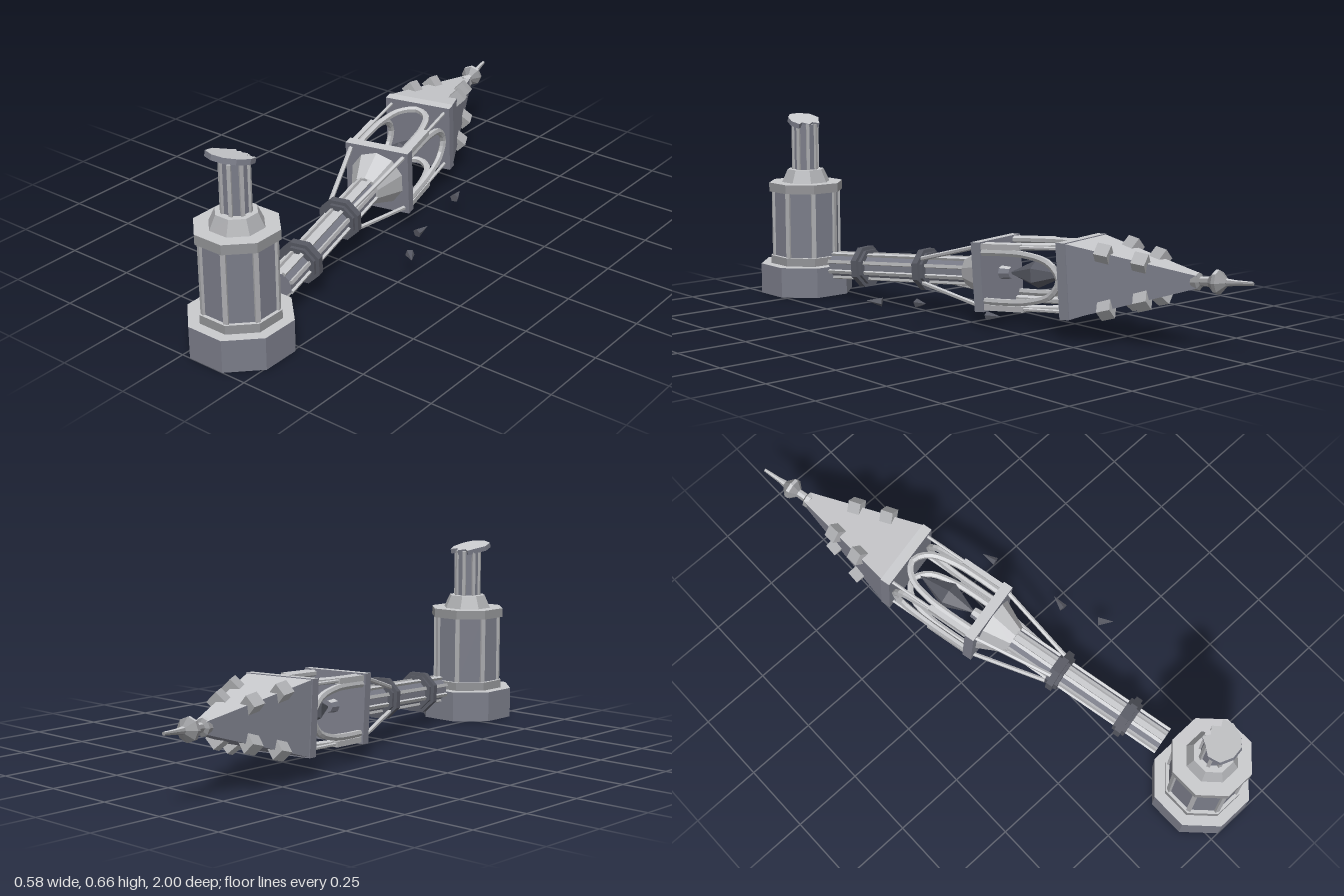
import * as THREE from 'three';

const mat = (name, color) => {
  const m = new THREE.MeshStandardMaterial({ color, flatShading: true });
  m.name = name;
  return m;
};

export function createModel() {
  const stone = mat('slate iron', 0x797b87);
  const trim = mat('grey trim', 0x919295);
  const light = mat('light trim', 0xabacaf);
  const pale = mat('pale worn tops', 0xc8c9cc);
  const dark = mat('dark crystal', 0x565862);

  const add = (parent, name, geo, material, x = 0, y = 0, z = 0) => {
    const m = new THREE.Mesh(geo, material);
    m.name = name;
    m.position.set(x, y, z);
    parent.add(m);
    return m;
  };

  // Eight-sided drum with a flat facing forward; sizes are half-widths across flats
  const K = 1 / Math.cos(Math.PI / 8);
  const drum = (parent, name, y0, y1, r0, r1, material) => {
    const g = new THREE.CylinderGeometry(r1 * K, r0 * K, y1 - y0, 8);
    g.rotateY(Math.PI / 8);
    return add(parent, name, g, material, 0, (y0 + y1) / 2, 0);
  };

  // Ribs on the eight corners of a drum
  const ribs = (parent, name, y0, y1, r, w) => {
    for (let i = 0; i < 8; i++) {
      const a = Math.PI / 8 + i * Math.PI / 4;
      const m = add(parent, name, new THREE.BoxGeometry(w, y1 - y0, w), light,
        Math.sin(a) * r, (y0 + y1) / 2, Math.cos(a) * r);
      m.rotation.y = a;
    }
  };

  // Straight bar between two points
  const rod = (parent, name, a, b, r) => {
    const d = b.clone().sub(a);
    const m = add(parent, name, new THREE.CylinderGeometry(r, r, d.length(), 6), light);
    m.position.copy(a).addScaledVector(d, 0.5);
    m.quaternion.setFromUnitVectors(new THREE.Vector3(0, 1, 0), d.normalize());
  };

  const root = new THREE.Group();
  root.name = 'brokenLamp';

  // Standing pedestal
  const pedestal = new THREE.Group();
  pedestal.name = 'pedestal';
  pedestal.position.set(0.097, 0, 0.84);
  root.add(pedestal);
  drum(pedestal, 'foot', 0, 0.11, 0.16, 0.16, stone);
  drum(pedestal, 'lowerBand', 0.11, 0.14, 0.125, 0.125, trim);
  drum(pedestal, 'body', 0.14, 0.38, 0.113, 0.113, stone);
  ribs(pedestal, 'bodyRib', 0.14, 0.38, 0.12, 0.016);
  drum(pedestal, 'cap', 0.38, 0.413, 0.128, 0.128, trim);
  drum(pedestal, 'shoulder', 0.413, 0.46, 0.083, 0.063, light);
  drum(pedestal, 'stump', 0.46, 0.628, 0.041, 0.041, stone);
  ribs(pedestal, 'stumpRib', 0.46, 0.628, 0.044, 0.012);

  // Jagged broken end, leaning toward the back
  const jag = [[-0.072, -0.02], [-0.062, -0.062], [-0.02, -0.08], [0.022, -0.074], [0.048, -0.045],
    [0.063, 0.0], [0.052, 0.036], [0.03, 0.022], [0.012, 0.045], [-0.012, 0.026], [-0.034, 0.042], [-0.05, 0.012]];
  const breakGeo = new THREE.ExtrudeGeometry(
    new THREE.Shape(jag.map(([x, y]) => new THREE.Vector2(x, y))), { depth: 0.018, bevelEnabled: false });
  breakGeo.rotateX(-Math.PI / 2);
  add(pedestal, 'brokenEnd', breakGeo, stone, 0, 0.624, 0).rotation.x = -0.26;

  // Fallen lamp: local y runs along the pole, local z points up
  const lamp = new THREE.Group();
  lamp.name = 'fallenLamp';
  const Y = new THREE.Vector3(-0.368, 0.126, -1.655).normalize();
  const X = Y.clone().cross(new THREE.Vector3(0, 1, 0)).normalize();
  const Z = X.clone().cross(Y);
  lamp.quaternion.setFromRotationMatrix(new THREE.Matrix4().makeBasis(X, Y, Z));
  lamp.position.set(0.093, 0.12, 0.655);
  root.add(lamp);

  drum(lamp, 'pole', 0, 0.66, 0.041, 0.041, stone);
  ribs(lamp, 'poleRib', 0, 0.66, 0.045, 0.012);
  for (const s of [0.146, 0.428]) {
    drum(lamp, 'collar', s - 0.024, s + 0.024, 0.059, 0.059, dark);
    drum(lamp, 'collarRing', s - 0.012, s + 0.012, 0.071, 0.071, dark);
  }

  // Cup, lantern floor and roof slab
  add(lamp, 'cup', new THREE.CylinderGeometry(0.1, 0.052, 0.1, 10), light, 0, 0.668, 0);
  add(lamp, 'lanternFloor', new THREE.BoxGeometry(0.236, 0.036, 0.236), stone, 0, 0.735, 0);
  add(lamp, 'roofSlab', new THREE.BoxGeometry(0.25, 0.036, 0.25), stone, 0, 1.082, 0);

  // Diagonal braces, corner posts with thin upper rods, and roof knobs
  for (const sx of [-1, 1]) for (const sz of [-1, 1]) {
    const at = (h, s) => new THREE.Vector3(sx * h, s, sz * h);
    rod(lamp, 'brace', at(0.042, 0.435), at(0.1, 0.725), 0.008);
    rod(lamp, 'cornerRod', at(0.103, 0.9), at(0.103, 1.07), 0.006);
    add(lamp, 'cornerPost', new THREE.BoxGeometry(0.019, 0.16, 0.019), light, sx * 0.103, 0.83, sz * 0.103);
    for (const [s, h] of [[1.222, 0.09], [1.34, 0.061]]) {
      const knob = add(lamp, 'roofKnob', new THREE.BoxGeometry(0.046, 0.046, 0.046), light, sx * h, s, sz * h);
      knob.rotation.order = 'YXZ';
      knob.rotation.y = Math.atan2(sx, sz);
      knob.rotation.x = -0.3;
    }
  }

  // Window arches on the four sides
  const archPts = [[-0.082, 0.75], [-0.083, 0.84], [-0.078, 0.93], [-0.052, 1.02], [0, 1.056],
    [0.052, 1.02], [0.078, 0.93], [0.083, 0.84], [0.082, 0.75]];
  const archGeo = new THREE.TubeGeometry(new THREE.CatmullRomCurve3(
    archPts.map(([x, y]) => new THREE.Vector3(x, y, 0.103))), 28, 0.012, 6);
  for (let i = 0; i < 4; i++) add(lamp, 'windowArch', archGeo, light).rotation.y = i * Math.PI / 2;

  // Crystal on its holder
  add(lamp, 'crystalHolder', new THREE.CylinderGeometry(0.02, 0.024, 0.045, 8), stone, 0, 0.772, 0);
  add(lamp, 'crystal', new THREE.LatheGeometry([[0, 0.785], [0.048, 0.9], [0, 1.022]]
    .map(([r, y]) => new THREE.Vector2(r, y)), 6), dark);

  // Four-sided spire
  const spire = new THREE.CylinderGeometry(0.02 * Math.SQRT2, 0.122 * Math.SQRT2, 0.415, 4);
  spire.rotateY(Math.PI / 4);
  add(lamp, 'spire', spire, stone, 0, 1.307, 0);

  // Finial and spike
  const finial = [[0, 1.495], [0.029, 1.495], [0.029, 1.513], [0.016, 1.52], [0.016, 1.55], [0.039, 1.573],
    [0.039, 1.585], [0.013, 1.61], [0.009, 1.64], [0.006, 1.7], [0, 1.7]];
  add(lamp, 'finial', new THREE.LatheGeometry(finial.map(([r, y]) => new THREE.Vector2(r, y)), 8), trim);

  // Scattered shards
  const shards = [[0.125, 0.08, -0.26, -1.5, 0.25], [0.19, 0.085, 0.035, -1.45, -0.1], [0.265, 0.077, 0.2, 1.5, 0.75]];
  for (const [x, y, z, rx, ry] of shards) {
    const s = add(root, 'shard', new THREE.ConeGeometry(0.016, 0.055, 5), dark, x, y, z);
    s.rotation.order = 'YXZ';
    s.rotation.set(rx, ry, 0);
  }

  // Upward faces of everything but the dark parts get the pale worn colour
  root.updateMatrixWorld(true);
  root.traverse((mesh) => {
    if (!mesh.isMesh || mesh.material === dark) return;
    const src = mesh.geometry.toNonIndexed().attributes.position;
    const sides = [], tops = [];
    const tri = new THREE.Triangle(), n = new THREE.Vector3();
    for (let i = 0; i < src.count; i += 3) {
      tri.setFromAttributeAndIndices(src, i, i + 1, i + 2);
      tri.getNormal(n).transformDirection(mesh.matrixWorld);
      (n.y > 0.72 ? tops : sides).push(tri.a.clone(), tri.b.clone(), tri.c.clone());
    }
    const geo = new THREE.BufferGeometry().setFromPoints([...sides, ...tops]);
    geo.computeVertexNormals();
    geo.addGroup(0, sides.length, 0);
    geo.addGroup(sides.length, tops.length, 1);
    mesh.geometry = geo;
    mesh.material = [mesh.material, pale];
  });

  return root;
}
